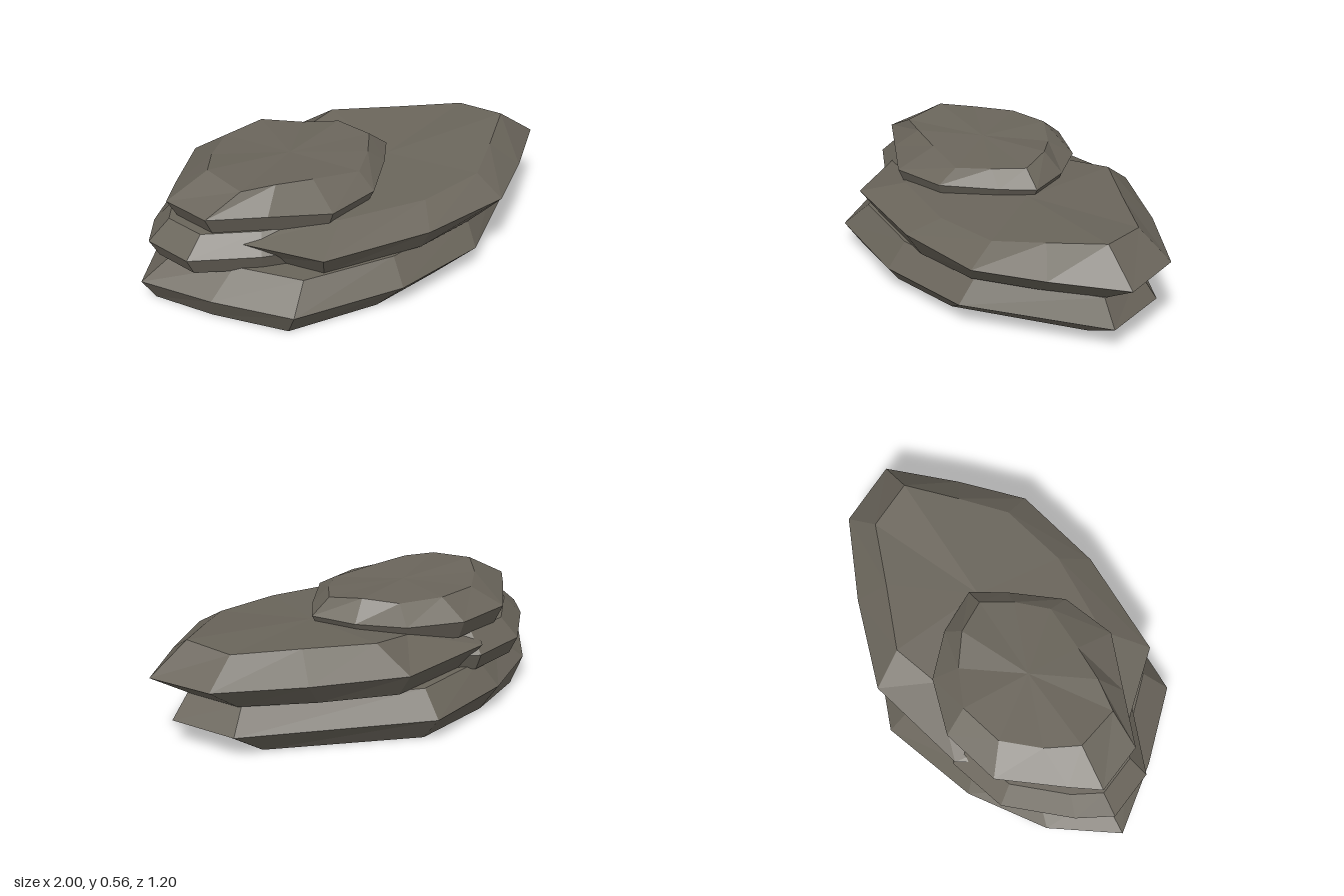
import * as THREE from 'three';

// Faceted slab from a list of closed rings, each an array of [x, y, z],
// ordered bottom to top and counterclockwise when seen from above.
function slab(name, rings, material) {
  const pos = [];
  const centre = (ring) => [0, 1, 2].map((k) => ring.reduce((s, p) => s + p[k], 0) / ring.length);
  const tri = (...pts) => pts.forEach((p) => pos.push(...p));
  const n = rings[0].length;
  const low = rings[0], high = rings[rings.length - 1];
  const cl = centre(low), ch = centre(high);
  for (let i = 0; i < n; i++) {
    const j = (i + 1) % n;
    tri(cl, low[j], low[i]);
    tri(ch, high[i], high[j]);
    for (let r = 0; r < rings.length - 1; r++) {
      const a = rings[r], b = rings[r + 1];
      tri(a[i], a[j], b[j]);
      tri(a[i], b[j], b[i]);
    }
  }
  const geo = new THREE.BufferGeometry();
  geo.setAttribute('position', new THREE.Float32BufferAttribute(pos, 3));
  geo.computeVertexNormals();
  const mesh = new THREE.Mesh(geo, material);
  mesh.name = name;
  return mesh;
}

// Lift an [x, z] outline to a height, or shrink it about a centre
const level = (outline, y) => outline.map(([x, z]) => [x, y, z]);
const shrink = (outline, s, cx, cz = 0) => outline.map(([x, z]) => [cx + (x - cx) * s, cz + (z - cz) * s]);

export function createModel() {
  const group = new THREE.Group();
  group.name = 'layeredRock';
  const stone = new THREE.MeshStandardMaterial({ color: 0x6a655b, flatShading: true });
  stone.name = 'stone';

  // Base slab
  const baseFoot = [[0.69, 0.02], [0.61, -0.23], [-0.03, -0.51], [-0.42, -0.41], [-0.72, -0.26],
    [-0.93, 0.0], [-0.77, 0.24], [-0.54, 0.5], [-0.12, 0.51], [0.22, 0.42]];
  const baseMid = [[0.9, 0.03], [0.77, -0.27], [-0.04, -0.6], [-0.48, -0.46], [-0.8, -0.25],
    [-1, 0.02], [-0.8, 0.3], [-0.55, 0.575], [-0.04, 0.595], [0.4, 0.48]];
  const baseTop = [[0.82, 0.03], [0.7, -0.22], [-0.04, -0.5], [-0.42, -0.39], [-0.66, -0.21],
    [-0.82, 0.02], [-0.67, 0.26], [-0.46, 0.49], [-0.04, 0.51], [0.4, 0.4]];
  group.add(slab('baseSlab', [level(baseFoot, 0), level(baseMid, 0.112), level(baseTop, 0.225)], stone));

  // Wide middle slab, its top rising toward the +x end
  const wideMid = [[1, 0.02], [0.87, -0.26], [0.5, -0.43], [0.09, -0.57], [-0.38, -0.46], [-0.6, -0.1],
    [-0.64, 0.27], [-0.4, 0.555], [0.1, 0.57], [0.52, 0.485], [0.76, 0.27]];
  const wideFoot = [[0.82, 0.02], [0.72, -0.22], [0.42, -0.37], [0.09, -0.49], [-0.32, -0.39], [-0.52, -0.08],
    [-0.55, 0.23], [-0.36, 0.48], [0.1, 0.5], [0.4, 0.42], [0.62, 0.23]];
  const wideTop = [[0.82, 0.467, 0.02], [0.73, 0.45, -0.19], [0.45, 0.45, -0.3], [0.16, 0.45, -0.42],
    [-0.05, 0.42, -0.35], [-0.45, 0.4, -0.08], [-0.48, 0.39, 0.22], [-0.24, 0.405, 0.4],
    [0.16, 0.405, 0.43], [0.47, 0.415, 0.36], [0.64, 0.44, 0.2]];
  group.add(slab('wideSlab', [level(wideFoot, 0.224), level(wideMid, 0.335), wideTop], stone));

  // Small slab wedged in at the -x end
  const wedgeMid = [[0.1, 0], [0, -0.28], [-0.37, -0.465], [-0.64, -0.39], [-0.86, -0.15],
    [-0.945, 0], [-0.865, 0.22], [-0.58, 0.34], [-0.28, 0.41], [0, 0.28]];
  group.add(slab('wedgeSlab', [
    level(shrink(wedgeMid, 0.92, -0.4), 0.21),
    level(wedgeMid, 0.29),
    level(shrink(wedgeMid, 0.82, -0.4), 0.375),
  ], stone));

  // Cap slab with an uneven top
  const capMid = [[0.22, -0.01], [0.12, -0.2], [-0.04, -0.36], [-0.29, -0.44], [-0.56, -0.375], [-0.76, -0.13],
    [-0.85, -0.01], [-0.77, 0.21], [-0.53, 0.31], [-0.28, 0.415], [-0.04, 0.335], [0.13, 0.13]];
  const capTop = [[0.13, 0.525, -0.01], [0.05, 0.545, -0.15], [-0.08, 0.525, -0.25], [-0.25, 0.545, -0.33],
    [-0.45, 0.54, -0.28], [-0.58, 0.545, -0.14], [-0.66, 0.56, 0], [-0.6, 0.54, 0.2],
    [-0.45, 0.545, 0.225], [-0.28, 0.53, 0.235], [-0.06, 0.51, 0.24], [0.05, 0.52, 0.12]];
  group.add(slab('capSlab', [level(shrink(capMid, 0.91, -0.33), 0.37), level(capMid, 0.455), capTop], stone));

  return group;
}
